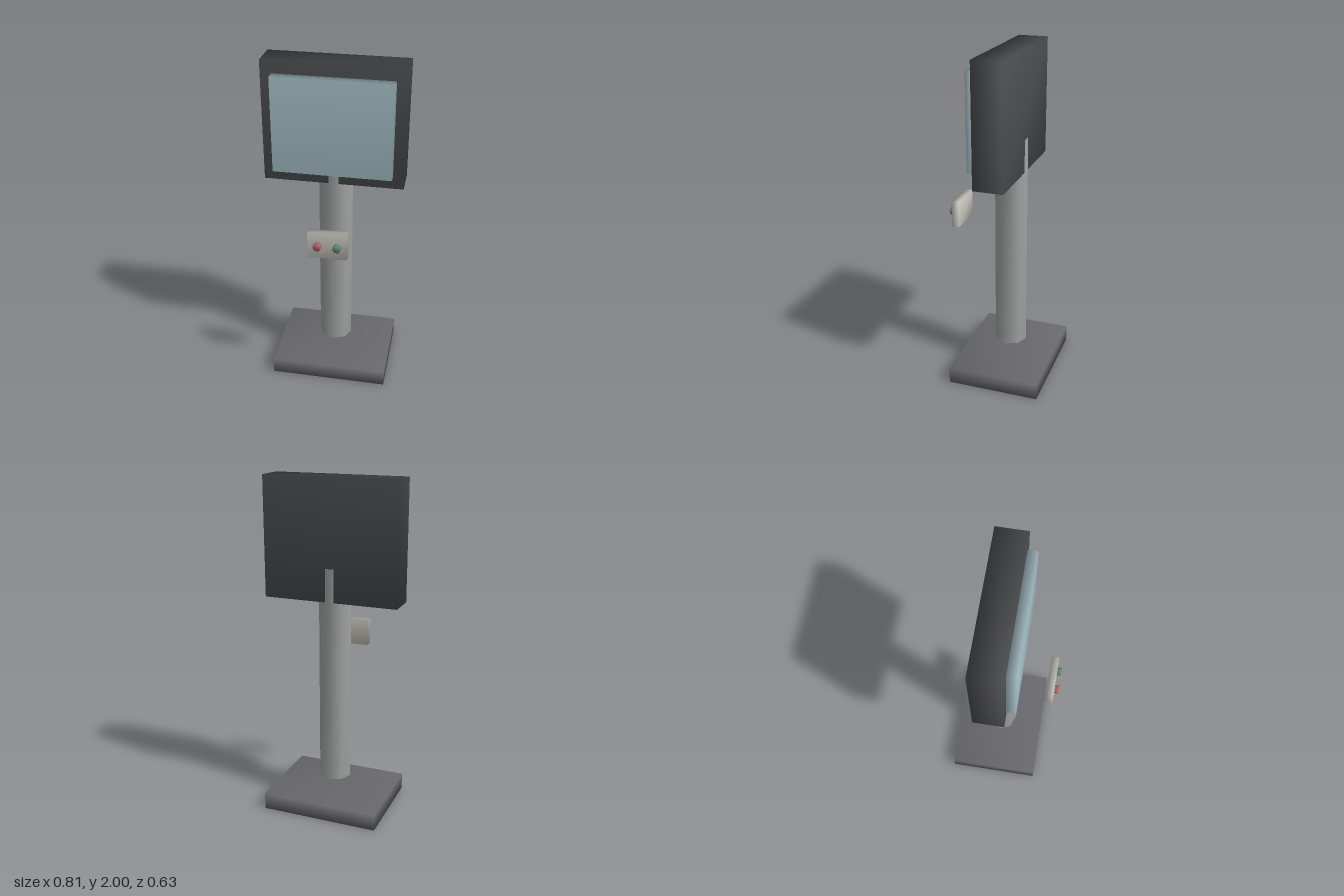
import * as THREE from 'three';
import { mergeVertices } from 'three/addons/utils/BufferGeometryUtils.js';

// Share corner vertices so shading runs softly over the edges
function soften(geometry) {
  geometry.deleteAttribute('normal');
  geometry.deleteAttribute('uv');
  const merged = mergeVertices(geometry, 1e-4);
  merged.computeVertexNormals();
  return merged;
}

export function createModel() {
  const group = new THREE.Group();

  function add(name, geometry, color) {
    const mesh = new THREE.Mesh(soften(geometry), new THREE.MeshStandardMaterial({ color }));
    mesh.name = name;
    group.add(mesh);
    return mesh;
  }

  // Box given by its lower and upper limits on each axis
  function box(name, [x0, x1], [y0, y1], [z0, z1], color) {
    const mesh = add(name, new THREE.BoxGeometry(x1 - x0, y1 - y0, z1 - z0), color);
    mesh.position.set((x0 + x1) / 2, (y0 + y1) / 2, (z0 + z1) / 2);
  }

  // Foot plate
  box('base', [-0.353, 0.353], [0, 0.1], [-0.317, 0.237], 0x68686c);

  // Eight-sided column, floating above the foot and running up into the display
  const column = add('column', new THREE.CylinderGeometry(0.1, 0.1, 1.31, 8), 0xa0a2a2);
  column.position.set(0, 0.835, -0.04);

  // Display housing and raised screen
  box('displayHousing', [-0.403, 0.403], [1.295, 2], [-0.129, 0.048], 0x4a4b4d);
  box('screen', [-0.34, 0.34], [1.37, 1.928], [0.047, 0.103], 0xa4bfc6);

  // Control panel in front of the column
  box('controlPanel', [-0.104, 0.123], [0.94, 1.1], [0.245, 0.29], 0xc4c2ba);

  // Hexagonal push buttons
  for (const [name, x, color] of [['redButton', -0.046, 0xb06462], ['greenButton', 0.067, 0x628a72]]) {
    const geometry = new THREE.CylinderGeometry(0.025, 0.025, 0.03, 6, 1, false, Math.PI / 6);
    geometry.rotateX(Math.PI / 2);
    add(name, geometry, color).position.set(x, 1.02, 0.3);
  }

  return group;
}
